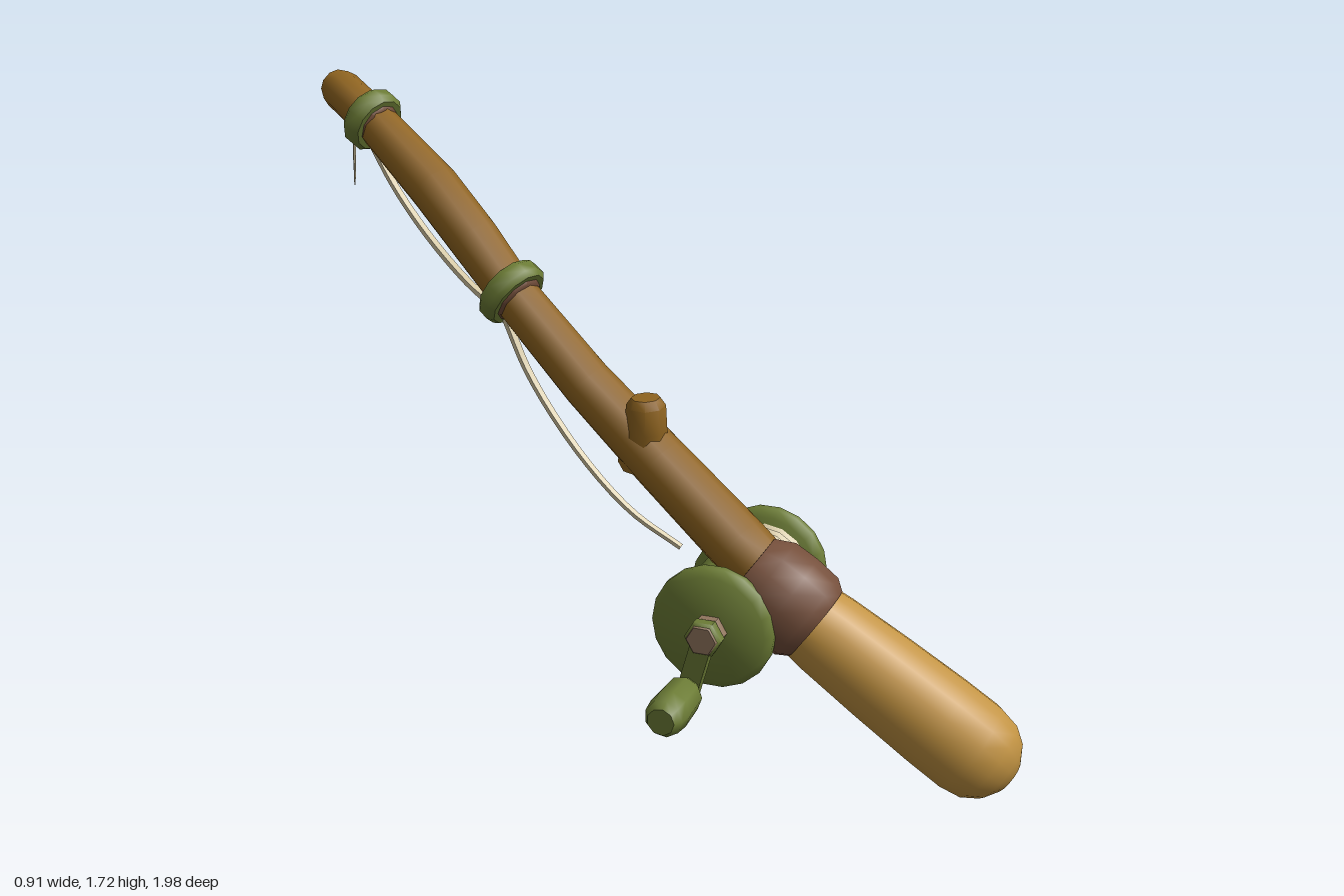
import * as THREE from 'three';
import { toCreasedNormals } from 'three/addons/utils/BufferGeometryUtils.js';

const mat = (name, color) => {
  const m = new THREE.MeshStandardMaterial({ color });
  m.name = name;
  return m;
};

export function createModel() {
  const root = new THREE.Group();
  root.name = 'fishingRod';
  const bark = mat('bark brown', 0x8f6420);
  const grip = mat('light wood', 0xc29342);
  const wrap = mat('leather brown', 0x76503c);
  const green = mat('olive green', 0x6d7d36);
  const cream = mat('line cream', 0xdaccA6);
  const bolt = mat('dull tan', 0x947860);
  const UP = new THREE.Vector3(0, 1, 0);

  const add = (parent, name, geo, material) => {
    const m = new THREE.Mesh(geo, material);
    m.name = name;
    parent.add(m);
    return m;
  };

  // Turned part: profile of [radius, height], standing at 'from' along 'dir'
  const turn = (parent, name, material, profile, from, dir, sides = 14) => {
    const geo = new THREE.LatheGeometry(profile.map(p => new THREE.Vector2(...p)), sides);
    const m = add(parent, name, toCreasedNormals(geo, 0.85), material);
    m.position.set(...from);
    m.quaternion.setFromUnitVectors(UP, new THREE.Vector3(...dir).normalize());
    return m;
  };

  // Bevelled solid cylinder profile centred on height h
  const drum = (r, h, t, b = 0.015) => [
    [0, h - t / 2], [r - b, h - t / 2], [r, h - t / 2 + b],
    [r, h + t / 2 - b], [r - b, h + t / 2], [0, h + t / 2]];

  // Round limb through rows of [x, y, z, radius]
  const limb = (parent, name, material, rows, sides) => {
    const pts = rows.map(r => new THREE.Vector3(r[0], r[1], r[2]));
    const pos = [], idx = [], n = rows.length;
    pts.forEach((p, i) => {
      const t = pts[Math.min(i + 1, n - 1)].clone().sub(pts[Math.max(i - 1, 0)]).normalize();
      const u = new THREE.Vector3(1, 0, 0).addScaledVector(t, -t.x).normalize();
      const v = t.clone().cross(u);
      for (let j = 0; j < sides; j++) {
        const a = j / sides * Math.PI * 2;
        const q = p.clone().addScaledVector(u, Math.cos(a) * rows[i][3])
          .addScaledVector(v, Math.sin(a) * rows[i][3]);
        pos.push(q.x, q.y, q.z);
        if (i < n - 1) {
          const k = (j + 1) % sides, b = i * sides;
          idx.push(b + j, b + k, b + sides + j, b + k, b + sides + k, b + sides + j);
        }
      }
    });
    const geo = new THREE.BufferGeometry();
    geo.setAttribute('position', new THREE.Float32BufferAttribute(pos, 3));
    geo.setIndex(idx);
    geo.computeVertexNormals();
    return add(parent, name, toCreasedNormals(geo, 0.85), material);
  };

  // Grip with rounded butt
  const gripDir = [-0.29, 0.37, -0.4];
  turn(root, 'grip', grip, [[0, -0.13], [0.05, -0.12], [0.092, -0.092], [0.12, -0.05],
    [0.131, 0.01], [0.13, 0.12], [0.123, 0.3], [0.113, 0.48], [0.1, 0.6], [0, 0.6]],
  [0.3, 0.13, 0.865], gripDir, 16);

  // Leather collar joining grip and rod
  turn(root, 'collar', wrap, [[0, -0.1], [0.108, -0.1], [0.128, -0.07], [0.132, 0],
    [0.128, 0.07], [0.1, 0.12], [0, 0.12]], [0.01, 0.505, 0.465], [-0.3, 0.45, -0.55], 14);

  // Gently bent wooden rod
  limb(root, 'rod', bark, [
    [0.01, 0.51, 0.46, 0.085], [-0.035, 0.63, 0.33, 0.083], [-0.095, 0.805, 0.1, 0.078],
    [-0.165, 0.985, -0.11, 0.07], [-0.24, 1.2, -0.32, 0.064], [-0.268, 1.33, -0.45, 0.07],
    [-0.29, 1.45, -0.59, 0.07], [-0.325, 1.605, -0.81, 0.058], [-0.343, 1.675, -0.935, 0.057],
    [-0.347, 1.69, -0.965, 0.04], [-0.347, 1.691, -0.967, 0]], 9);

  // Cut branch stub
  limb(root, 'branchStub', bark, [[-0.112, 0.79, 0.05, 0.065], [-0.12, 0.9, 0.075, 0.055],
    [-0.125, 0.965, 0.08, 0.052], [-0.126, 0.985, 0.08, 0.038], [-0.126, 0.987, 0.08, 0]], 8);

  // Line guides with leather bands inside
  const guides = [
    { at: [-0.24, 1.205, -0.325], dir: [-0.15, 0.55, -0.8], r: 0.098 },
    { at: [-0.325, 1.605, -0.812], dir: [-0.12, 0.42, -0.9], r: 0.088 }];
  for (const g of guides) {
    const i = g.r - 0.03;
    turn(root, 'lineGuide', green, [[i, -0.03], [g.r - 0.012, -0.03], [g.r, -0.015],
      [g.r, 0.015], [g.r - 0.012, 0.03], [i, 0.03], [i, -0.03]], g.at, g.dir, 12);
    turn(root, 'guideBand', wrap, drum(i + 0.006, 0, 0.075, 0.01), g.at, g.dir, 10);
  }

  // Reel, with its axle along local x
  const reel = new THREE.Group();
  reel.name = 'reel';
  reel.position.set(0.03, 0.455, 0.285);
  reel.rotation.y = 0.47;
  root.add(reel);
  const X = [1, 0, 0], O = [0, 0, 0];
  turn(reel, 'reelBody', green, drum(0.13, -0.06, 0.22), O, X, 16);
  turn(reel, 'bodyBand', wrap, drum(0.138, -0.175, 0.03, 0.005), O, X, 16);
  for (const [h, r] of [[-0.22, 0.165], [0.05, 0.155], [0.22, 0.165]])
    turn(reel, 'reelDisc', green, drum(r, h, 0.06, 0.02), O, X, 18);

  // Wound line on the spool
  const winding = [];
  for (let i = 0; i <= 10; i++) winding.push([i % 2 ? 0.127 : 0.117, 0.07 + i * 0.0135]);
  turn(reel, 'woundLine', cream, winding, O, X, 16);

  // Cranks on both ends
  for (const s of [-1, 1]) {
    const dir = [s, 0, 0];
    turn(reel, 'axle', bolt, drum(0.046, 0.255, 0.05, 0.004), O, dir, 6);
    turn(reel, 'crankHub', green, drum(0.05, 0.292, 0.04, 0.008), O, dir, 6);
    turn(reel, 'bolt', bolt, drum(0.042, 0.312, 0.012, 0.003), O, dir, 6);
    const arm = add(reel, 'crankArm', new THREE.BoxGeometry(0.034, 0.18, 0.055), green);
    arm.position.set(s * 0.295, -0.078, -0.02);
    arm.rotation.x = 0.27;
    turn(reel, 'crankKnob', s > 0 ? grip : green, [[0, 0.315], [0.04, 0.315], [0.051, 0.335],
      [0.055, 0.43], [0.05, 0.475], [0.036, 0.495], [0, 0.495]], [0, -0.148, -0.04], dir, 9);
  }

  // Slack line strands, thinning toward both ends
  const strand = (points, r0, r1) => {
    const curve = new THREE.CatmullRomCurve3(points.map(p => new THREE.Vector3(...p)));
    const rows = curve.getPoints(18).map((p, i) => [p.x, p.y, p.z, r0 + (r1 - r0) * i / 18]);
    limb(root, 'lineStrand', cream, rows, 5);
  };
  strand([[-0.27, 1.14, -0.31], [-0.255, 1.0, -0.235], [-0.22, 0.82, -0.085],
    [-0.17, 0.68, 0.07], [-0.11, 0.6, 0.2]], 0.013, 0.009);
  strand([[-0.2, 1.14, -0.32], [-0.11, 0.98, -0.22], [-0.05, 0.82, -0.06],
    [0.03, 0.69, 0.08], [0.12, 0.57, 0.21]], 0.012, 0.012);
  strand([[-0.255, 1.15, -0.35], [-0.275, 1.2, -0.45], [-0.29, 1.31, -0.62],
    [-0.31, 1.43, -0.74], [-0.33, 1.54, -0.81]], 0.012, 0.012);
  strand([[-0.32, 1.55, -0.82], [-0.32, 1.6, -0.875], [-0.315, 1.55, -0.915],
    [-0.31, 1.4, -0.937]], 0.014, 0.002);

  return root;
}
